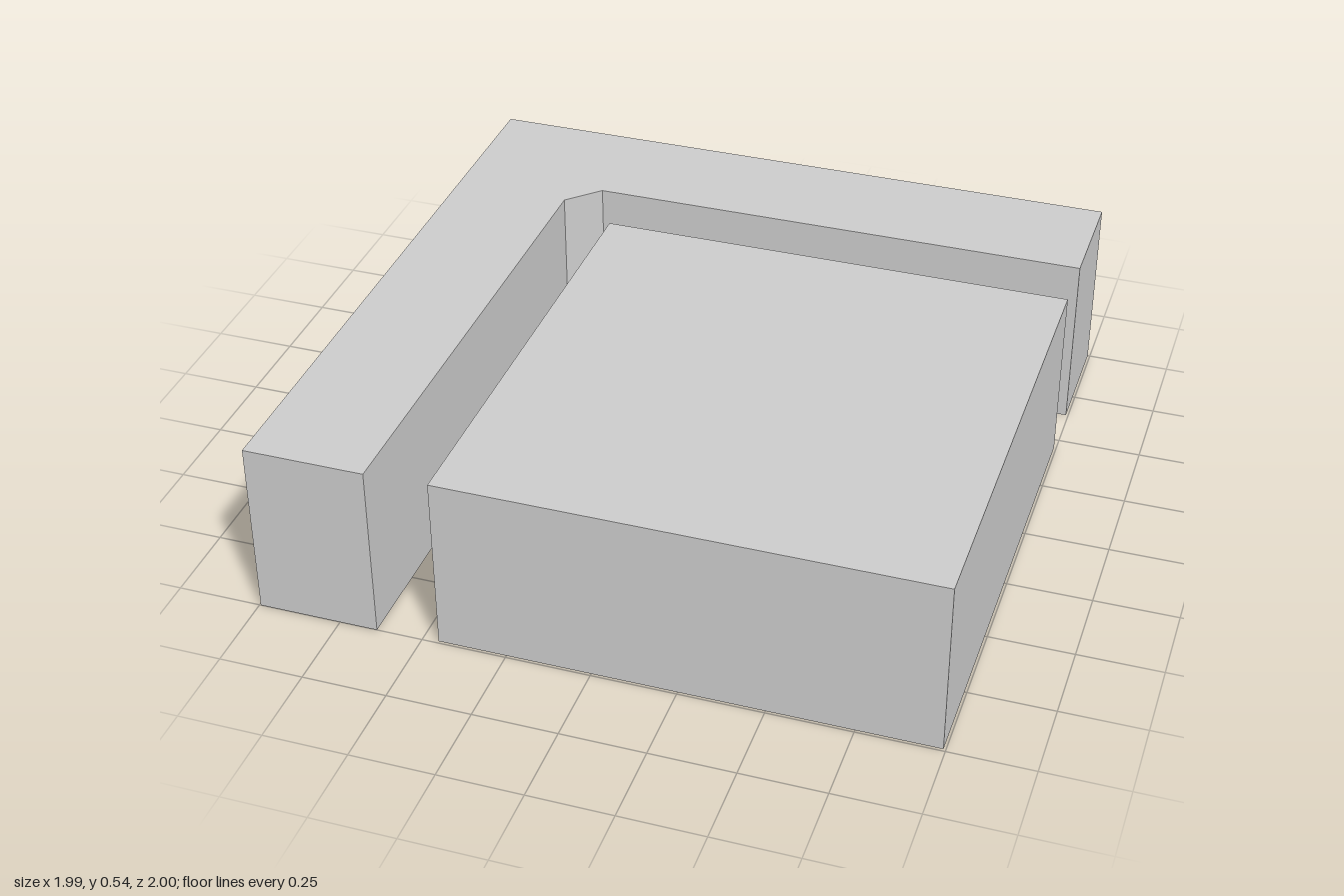
import * as THREE from 'three';

const HEIGHT = 0.54;

// Extrudes a plan outline, given as [x, z] corners, upwards from the ground
function slab(name, corners, material) {
  const shape = new THREE.Shape(corners.map(([x, z]) => new THREE.Vector2(x, -z)));
  const geometry = new THREE.ExtrudeGeometry(shape, { depth: HEIGHT, bevelEnabled: false });
  geometry.rotateX(-Math.PI / 2);
  const mesh = new THREE.Mesh(geometry, material);
  mesh.name = name;
  return mesh;
}

export function createModel() {
  const group = new THREE.Group();
  group.name = 'cornerWallAndBlock';
  const material = new THREE.MeshStandardMaterial({ color: 0xcccccc, flatShading: true });

  // L-shaped wall along the back and one side, chamfered at the inner corner
  group.add(slab('cornerWall', [
    [-0.996, -1], [-0.996, 1], [-0.637, 1], [-0.637, -0.549],
    [-0.543, -0.643], [0.993, -0.643], [0.993, -1],
  ], material));

  // Square block standing clear of the wall
  group.add(slab('squareBlock', [
    [-0.453, -0.458], [-0.453, 0.992], [0.993, 0.992], [0.993, -0.458],
  ], material));

  return group;
}
